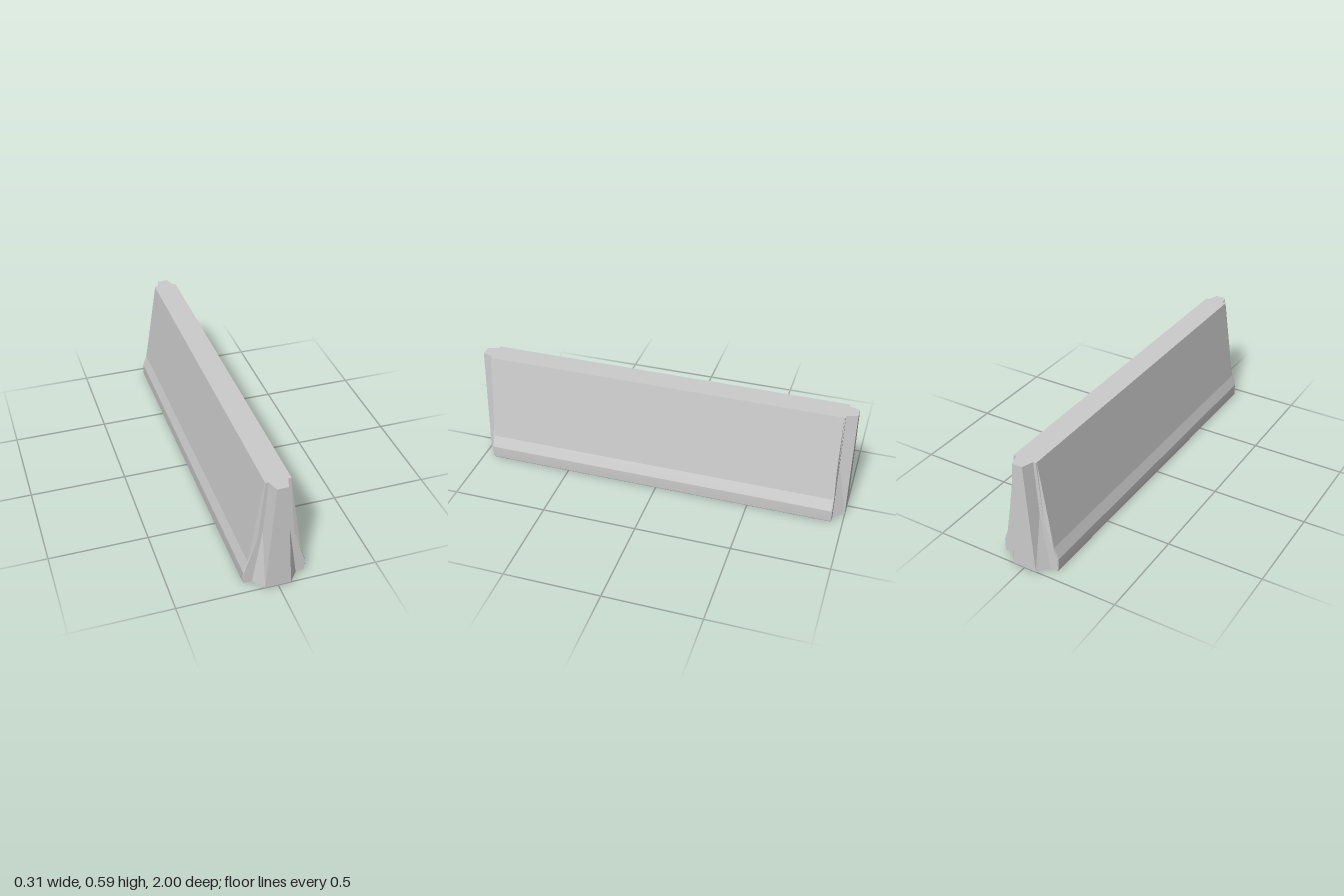
import * as THREE from 'three';
import { toCreasedNormals } from 'three/addons/utils/BufferGeometryUtils.js';

// Joins mirrored half profiles (right side, bottom to top) placed along z, back to front.
function loft(sections, crease) {
  const rings = sections.map(({ z, half }) => [
    ...half.map(([x, y]) => new THREE.Vector3(x, y, z)),
    ...half.slice().reverse().map(([x, y]) => new THREE.Vector3(-x, y, z)),
  ]);
  const pos = [];
  const tri = (a, b, c) => {
    if (new THREE.Triangle(a, b, c).getArea() < 1e-9) return;
    for (const p of [a, b, c]) pos.push(p.x, p.y, p.z);
  };
  const quad = (a, b, c, d) => { tri(a, b, c); tri(a, c, d); };
  const n = rings[0].length;
  for (let s = 0; s < rings.length - 1; s++) {
    const p = rings[s], q = rings[s + 1];
    for (let i = 0; i < n; i++) {
      const j = (i + 1) % n;
      // the split diagonal is mirrored on the left half
      if (i < n / 2) quad(p[i], p[j], q[j], q[i]);
      else quad(p[j], q[j], q[i], p[i]);
    }
  }
  const back = rings[0], front = rings[rings.length - 1];
  for (let i = 0; i < n / 2 - 1; i++) {
    const l = n - 1 - i;
    quad(front[i], front[i + 1], front[l - 1], front[l]);
    quad(back[l], back[l - 1], back[i + 1], back[i]);
  }
  const g = new THREE.BufferGeometry();
  g.setAttribute('position', new THREE.Float32BufferAttribute(pos, 3));
  return toCreasedNormals(g, crease);
}

// Half profile of the barrier wall with a rounded bottom edge.
function wallHalf(inset, waist) {
  const r = 0.008, half = [];
  for (let i = 0; i <= 10; i++) {
    const a = (i / 10) * Math.PI / 2;
    half.push([0.155 - inset - r + r * Math.sin(a), inset + r - r * Math.cos(a)]);
  }
  half.push([0.155 - inset, 0.07], [0.133 - inset / 2, 0.13], [waist, 0.275], [0.062 - inset / 2, 0.588]);
  return half;
}

export function createModel() {
  const group = new THREE.Group();
  group.name = 'roadBarrier';
  const material = new THREE.MeshStandardMaterial({ color: 0xcccccc });

  // Long wall, its ends bevelled inward around the waist
  const outer = wallHalf(0, 0.1105), inner = wallHalf(0.003, 0.088);
  const wall = new THREE.Mesh(loft([
    { z: -0.943, half: inner },
    { z: -0.937, half: outer },
    { z: 0.937, half: outer },
    { z: 0.943, half: inner },
  ], 0.18), material);
  wall.name = 'wall';
  group.add(wall);

  // Tapered connecting key on each end; the lower flank closes to a triangle
  const keyGeometry = loft([
    { z: 0.94, half: [[0.113, 0], [0.065, 0.32], [0.047, 0.588]] },
    { z: 1, half: [[0.065, 0], [0.065, 0], [0.027, 0.588]] },
  ], 0.05);
  for (const [name, turn] of [['frontKey', 0], ['backKey', Math.PI]]) {
    const key = new THREE.Mesh(keyGeometry, material);
    key.name = name;
    key.rotation.y = turn;
    group.add(key);
  }
  return group;
}
